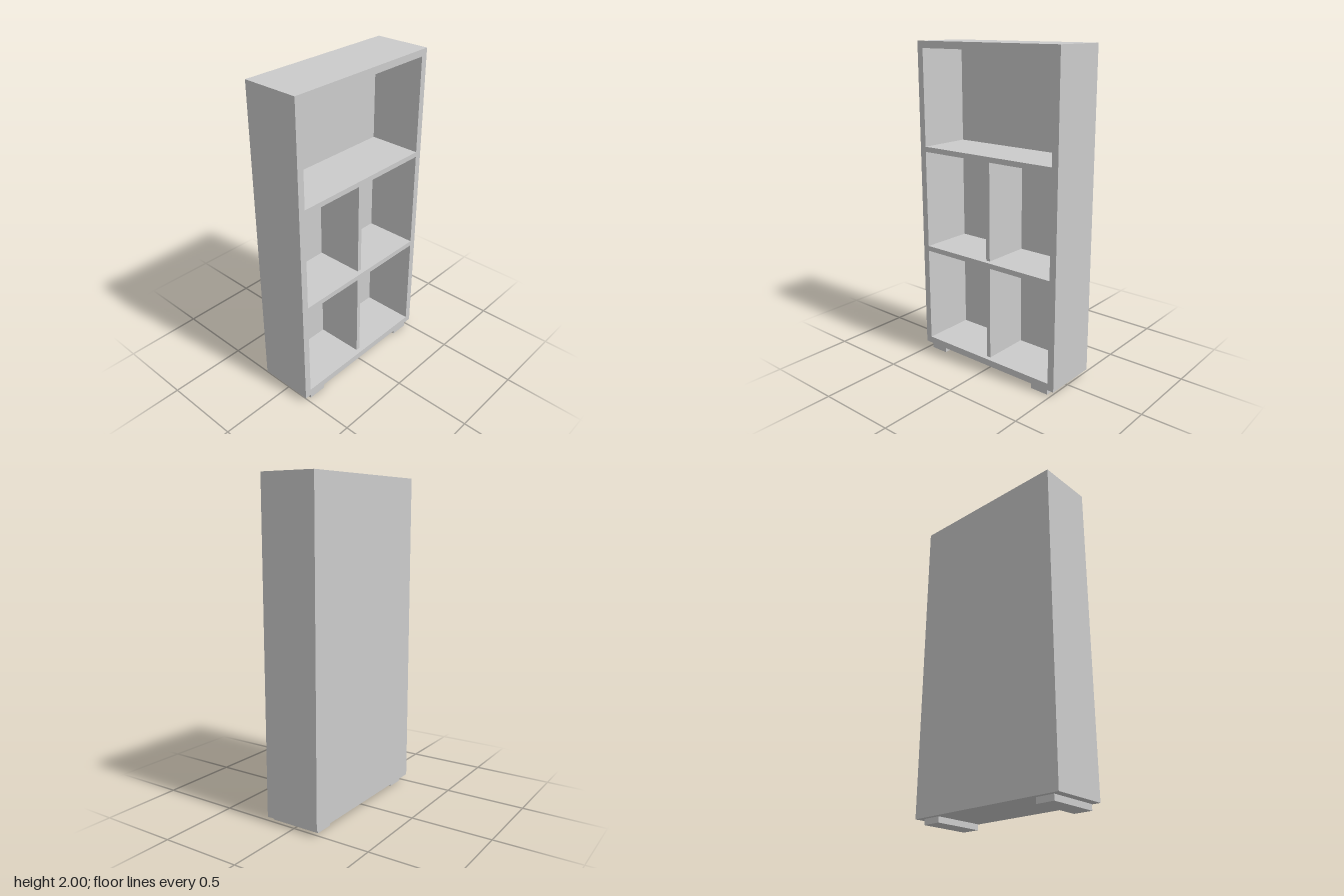
import * as THREE from 'three';

const material = new THREE.MeshStandardMaterial({ color: 0xcccccc });

// Box given by its min and max on each axis
function board(name, [x0, x1], [y0, y1], [z0, z1]) {
  const mesh = new THREE.Mesh(new THREE.BoxGeometry(x1 - x0, y1 - y0, z1 - z0), material);
  mesh.name = name;
  mesh.position.set((x0 + x1) / 2, (y0 + y1) / 2, (z0 + z1) / 2);
  return mesh;
}

export function createModel() {
  const group = new THREE.Group();
  group.name = 'bookcase';

  const W = 0.521, D = 0.177;            // outer half width and half depth
  const inner = 0.479;                   // inner half width
  const base = 0.035, floor = 0.077, ceiling = 1.958, top = 2;
  const backFace = -D + 0.015;           // front face of the back panel

  // Outer frame: one ring-shaped extrusion
  const outline = new THREE.Shape([[-W, base], [W, base], [W, top], [-W, top]]
    .map(p => new THREE.Vector2(...p)));
  outline.holes.push(new THREE.Path([[-inner, floor], [-inner, ceiling], [inner, ceiling], [inner, floor]]
    .map(p => new THREE.Vector2(...p))));
  const frame = new THREE.Mesh(
    new THREE.ExtrudeGeometry(outline, { depth: 2 * D, bevelEnabled: false }), material);
  frame.name = 'frame';
  frame.position.z = -D;
  group.add(frame);

  // Back panel
  group.add(board('backPanel', [-inner, inner], [floor, ceiling], [-D, backFace]));

  // Shelves, flush with the front
  const shelves = [[0.685, 0.717], [1.332, 1.364]];
  shelves.forEach(y => group.add(board('shelf', [-inner, inner], y, [backFace, D])));

  // Centre dividers, set back a little from the front
  const gaps = [[floor, shelves[0][0]], [shelves[0][1], shelves[1][0]]];
  gaps.forEach(y => group.add(board('divider', [-0.014, 0.014], y, [backFace, D - 0.03])));

  // Runner feet
  group.add(board('leftFoot', [0.355, 0.472], [0, base], [-0.15, 0.17]));
  group.add(board('rightFoot', [-0.472, -0.355], [0, base], [-0.15, 0.17]));

  return group;
}
